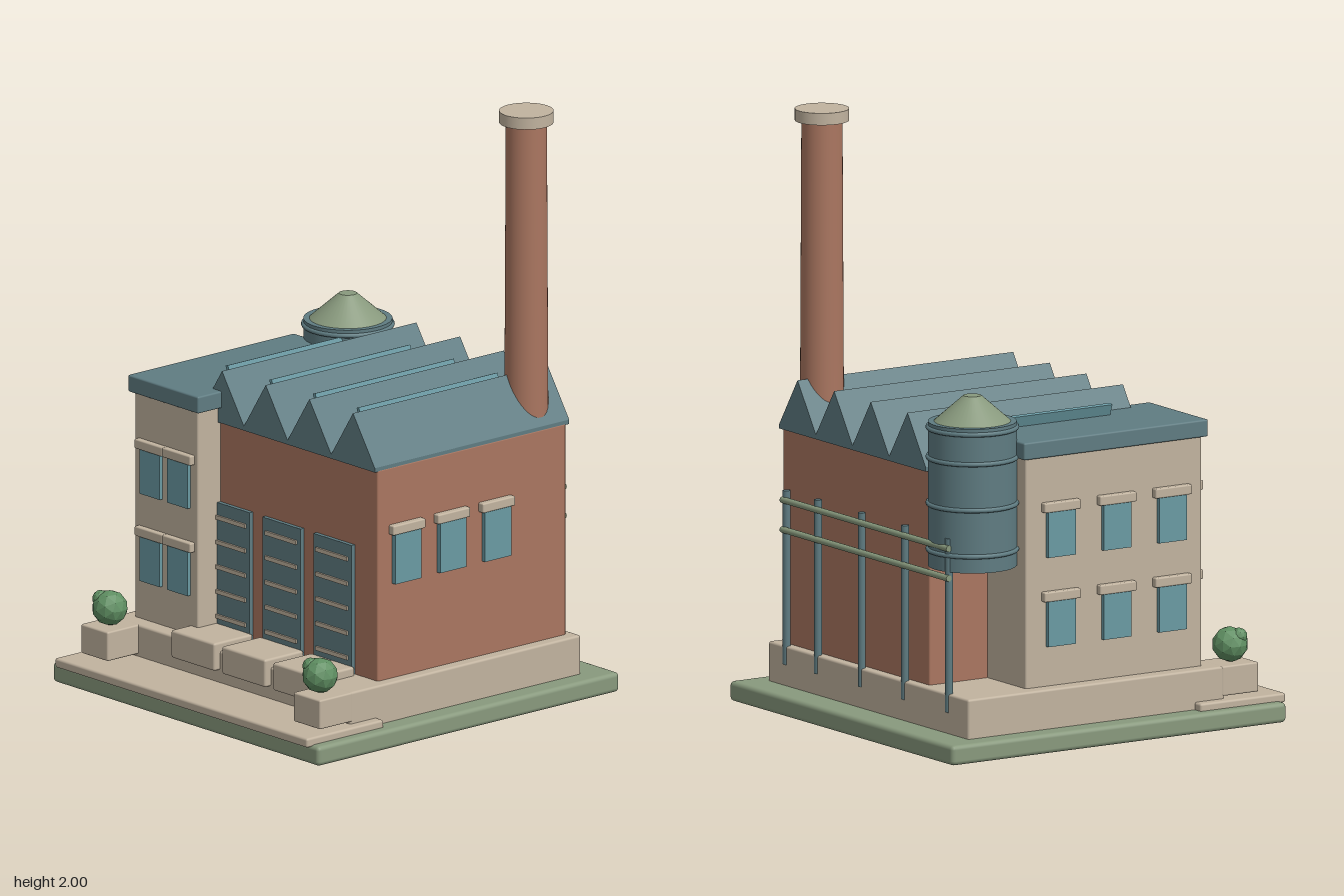
import * as THREE from 'three';
import { RoundedBoxGeometry } from 'three/addons/geometries/RoundedBoxGeometry.js';

const mat = (name, color) => {
  const m = new THREE.MeshStandardMaterial({ color });
  m.name = name;
  return m;
};

export function createModel() {
  const brick = mat('brick', 0xaa7660);
  const stone = mat('stone', 0xc1b39f);
  const slate = mat('slate', 0x5f7c82);
  const glass = mat('glass', 0x6a9aa3);
  const moss = mat('moss', 0x88997d);
  const leaf = mat('leaf', 0x5f8f62);
  leaf.flatShading = true;

  const model = new THREE.Group();
  model.name = 'factory';

  const add = (name, geometry, material, x = 0, y = 0, z = 0) => {
    const mesh = new THREE.Mesh(geometry, material);
    mesh.name = name;
    mesh.position.set(x, y, z);
    model.add(mesh);
    return mesh;
  };
  // Box given by its min and max along each axis; r rounds the edges
  const box = (name, material, [x0, x1], [y0, y1], [z0, z1], r = 0) => {
    const s = [x1 - x0, y1 - y0, z1 - z0];
    const g = r ? new RoundedBoxGeometry(...s, 2, r) : new THREE.BoxGeometry(...s);
    return add(name, g, material, (x0 + x1) / 2, (y0 + y1) / 2, (z0 + z1) / 2);
  };
  const around = (c, w) => [c - w / 2, c + w / 2];

  // Ground and foundations
  box('lawnBase', moss, [-0.664, 0.664], [0, 0.067], [-0.675, 0.652], 0.015);
  box('pavement', stone, [-0.63, 0.628], [0.06, 0.092], [0.332, 0.67], 0.008);
  box('plinth', stone, [-0.595, 0.593], [0.06, 0.2], [-0.566, 0.45], 0.008);

  // Main hall and office block
  box('brickHall', brick, [-0.318, 0.553], [0.19, 0.925], [-0.535, 0.293], 0.006);
  box('officeBlock', stone, [-0.545, -0.23], [0.19, 0.98], [-0.305, 0.393], 0.006);
  box('officeRoof', slate, [-0.562, -0.212], [0.972, 1.03], [-0.322, 0.408], 0.006);

  // Sawtooth roof
  const roof = new THREE.Shape();
  const pitch = 0.2175, left = -0.318;
  roof.moveTo(left, 0.92);
  roof.lineTo(left, 0.935);
  for (let i = 0; i < 4; i++) {
    roof.lineTo(left + pitch * (i + 0.5), 1.1);
    roof.lineTo(left + pitch * (i + 1), 0.935);
  }
  roof.lineTo(left + pitch * 4, 0.92);
  roof.closePath();
  add('sawtoothRoof', new THREE.ExtrudeGeometry(roof, { depth: 0.855, bevelEnabled: false }),
    slate, 0, 0, -0.55);

  // Tilted skylight panes, one per tooth
  for (let i = 0; i < 4; i++) {
    const pane = add('skylight', new THREE.BoxGeometry(0.012, 0.108, 0.61), glass,
      -0.309 + pitch * i, 1.018, -0.125);
    pane.rotation.z = 0.35;
  }

  // Chimney
  add('chimney', new THREE.CylinderGeometry(0.068, 0.073, 1.07, 40), brick, 0.463, 1.435, -0.44);
  add('chimneyCap', new THREE.CylinderGeometry(0.09, 0.09, 0.04, 40), stone, 0.463, 1.98, -0.44);

  // Loading doors with slats and a dock in front of each
  for (const x of [-0.163, 0.09, 0.344]) {
    box('loadingDoor', slate, around(x, 0.19), [0.2, 0.645], [0.285, 0.308]);
    for (let i = 0; i < 5; i++) {
      box('doorSlat', stone, around(x, 0.155), around(0.255 + 0.085 * i, 0.014), [0.3, 0.315]);
    }
    box('loadingDock', stone, around(x, 0.217), [0.135, 0.23], [0.305, 0.476], 0.008);
  }

  // Window with lintel, facing +z, mounted at a wall point
  const addWindow = (x, y, z, turn, w, h, lintelW) => {
    const g = new THREE.Group();
    g.name = 'window';
    const pane = new THREE.Mesh(new THREE.BoxGeometry(w, h, 0.03), glass);
    pane.name = 'windowPane';
    const lintel = new THREE.Mesh(new RoundedBoxGeometry(lintelW, 0.033, 0.042, 2, 0.005), stone);
    lintel.name = 'windowLintel';
    lintel.position.y = h / 2 + 0.012;
    g.add(pane, lintel);
    g.position.set(x, y, z);
    g.rotation.y = turn;
    model.add(g);
  };
  for (const y of [0.412, 0.712]) {
    for (const x of [-0.455, -0.317]) addWindow(x, y, 0.392, 0, 0.1, 0.157, 0.141);
    for (const z of [-0.17, 0.05, 0.27]) addWindow(-0.545, y, z, -Math.PI / 2, 0.11, 0.157, 0.145);
  }
  for (const z of [0.172, -0.025, -0.222]) addWindow(0.555, 0.612, z, Math.PI / 2, 0.115, 0.175, 0.142);

  // Water tank with hoops and conical lid
  const tx = -0.415, tz = -0.43;
  add('tank', new THREE.CylinderGeometry(0.147, 0.147, 0.485, 40), slate, tx, 0.852, tz);
  for (const y of [0.665, 0.82, 0.975, 1.075]) {
    add('tankHoop', new THREE.TorusGeometry(0.147, 0.008, 8, 40), slate, tx, y, tz)
      .rotation.x = Math.PI / 2;
  }
  add('tankLid', new THREE.CylinderGeometry(0.03, 0.13, 0.088, 40), moss, tx, 1.136, tz);

  // Pipe rack along the back wall
  for (const x of [-0.468, -0.207, 0.05, 0.31, 0.496]) {
    add('pipePost', new THREE.CylinderGeometry(0.013, 0.013, 0.585, 12), slate, x, 0.43, -0.558);
  }
  for (const y of [0.59, 0.69]) {
    add('pipe', new THREE.CylinderGeometry(0.011, 0.011, 0.99, 12), moss, 0.012, y, -0.568)
      .rotation.z = Math.PI / 2;
  }

  // Planters with clipped bushes
  for (const s of [-1, 1]) {
    const x = s * 0.529;
    box('planter', stone, around(x, 0.134), [0.1, 0.2], [0.44, 0.585], 0.006);
    const bx = s < 0 ? -0.53 : 0.517;
    add('bush', new THREE.IcosahedronGeometry(0.06, 1), leaf, bx, 0.257, 0.515);
    add('bushTuft', new THREE.IcosahedronGeometry(0.028, 1), leaf, bx - 0.026, 0.287, 0.533);
  }

  return model;
}
